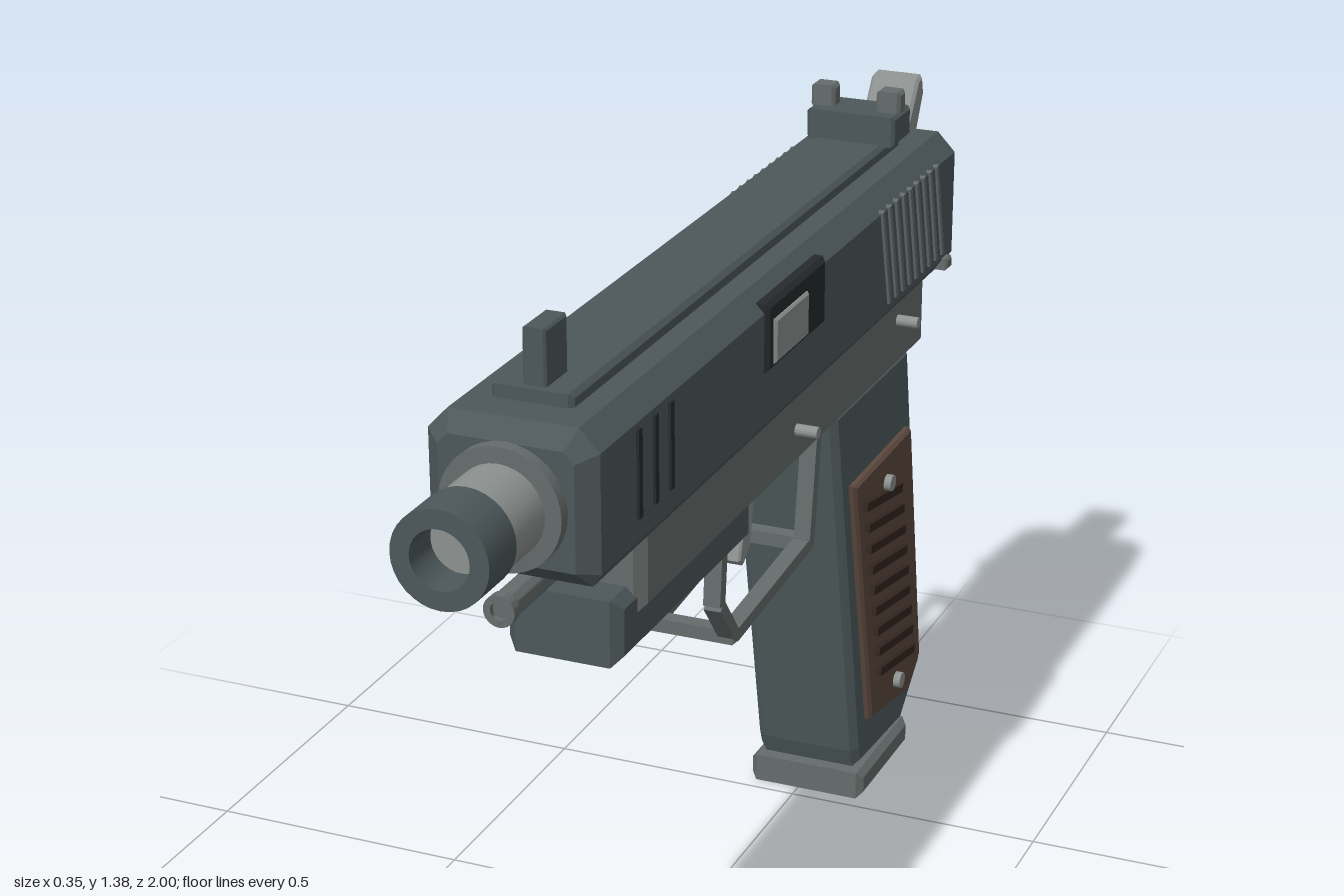
import * as THREE from 'three';
import { toCreasedNormals } from 'three/addons/utils/BufferGeometryUtils.js';

const CX = 0.015; // centre plane of the body
const mat = (color) => new THREE.MeshStandardMaterial({ color, flatShading: true });

export function createModel() {
  const root = new THREE.Group();
  const M = {
    slide: mat(0x4d585b), frame: mat(0x656c6b), grip: mat(0x505c5e), light: mat(0x8d9290),
    dark: mat(0x262b2d), wood: mat(0x5c493e), slat: mat(0x33261f), brass: mat(0x9c8148),
  };
  const add = (name, geo, material, parent = root) => {
    const mesh = new THREE.Mesh(geo, material);
    mesh.name = name;
    parent.add(mesh);
    return mesh;
  };
  const shapeOf = (pts) => new THREE.Shape(pts.map(([a, b]) => new THREE.Vector2(a, b)));
  const extrude = (pts, length, bevel) => new THREE.ExtrudeGeometry(shapeOf(pts), {
    depth: length - 2 * bevel, bevelEnabled: bevel > 0, bevelSize: bevel,
    bevelThickness: bevel, bevelOffset: -bevel, bevelSegments: 1,
  }).translate(0, 0, bevel);
  // side profile of [z, y] points, spanning x0..x1
  const side = (name, pts, x0, x1, material, bevel = 0, parent = root) =>
    add(name, extrude(pts.map(([z, y]) => [-z, y]), x1 - x0, bevel).rotateY(Math.PI / 2).translate(x0, 0, 0), material, parent);
  // chamfered block from its limits
  const block = (name, [x0, x1], [y0, y1], [z0, z1], material, bevel = 0.006, parent = root) =>
    side(name, [[z0, y0], [z1, y0], [z1, y1], [z0, y1]], x0, x1, material, bevel, parent);
  // front profile of [x, y] points, spanning z0..z1
  const front = (name, pts, z0, z1, material, bevel) =>
    add(name, extrude(pts, z1 - z0, bevel).translate(0, 0, z0), material);
  // turned part along z from [radius, z] points
  const turned = (name, pts, y, material) => add(name, toCreasedNormals(
    new THREE.LatheGeometry(pts.map(([r, z]) => new THREE.Vector2(r, z)), 32).rotateX(Math.PI / 2), 0.6,
  ).translate(CX, y, 0), new THREE.MeshStandardMaterial({ color: material.color }));
  // round pin along x
  const pin = (name, r, x0, x1, y, z, material) => add(name,
    new THREE.CylinderGeometry(r, r, x1 - x0, 16).rotateZ(Math.PI / 2).translate((x0 + x1) / 2, y, z), material);
  // straight bar between two [z, y] points
  const bar = (name, a, b, thick, x0, x1, material, parent = root) => {
    const dz = b[0] - a[0], dy = b[1] - a[1];
    const g = new THREE.BoxGeometry(x1 - x0, thick, Math.hypot(dz, dy));
    g.rotateX(-Math.atan2(dy, dz)).translate((x0 + x1) / 2, (a[1] + b[1]) / 2, (a[0] + b[0]) / 2);
    return add(name, g, material, parent);
  };

  // Slide with chamfered top edges, and the rib on top
  front('slide', [[-0.115, 1.008], [0.145, 1.008], [0.16, 1.03], [0.16, 1.23], [0.125, 1.267],
    [-0.095, 1.267], [-0.13, 1.23], [-0.13, 1.03]], -0.935, 0.775, M.slide, 0.03);
  block('topRib', [-0.055, 0.085], [1.25, 1.29], [-0.8, 0.68], M.slide, 0.008);

  // Slide serrations on both sides
  for (const [x0, x1] of [[0.15, 0.165], [-0.135, -0.12]]) {
    for (let i = 0; i < 9; i++) {
      const z = -0.492 - i * 0.0375;
      bar('rearSerration', [z, 1.235], [z - 0.05, 1.045], 0.011, x0, x1, M.frame);
    }
    for (const z of [0.605, 0.542, 0.48]) block('frontSerration', [x0, x1], [1.07, 1.22], [z - 0.007, z + 0.007], M.dark, 0);
    const out = x0 > 0 ? [0.14, 0.172] : [-0.142, -0.11];
    block('railNub', out, [1.01, 1.033], [-0.875, -0.845], M.frame, 0.004);
  }

  // Ejection port
  block('ejectionPort', [0.11, 0.168], [1.122, 1.247], [-0.192, 0.08], M.dark, 0.008);
  block('chamber', [0.12, 0.174], [1.135, 1.215], [-0.095, 0.058], M.light, 0.004);

  // Barrel, bushing and hollow muzzle
  turned('bushing', [[0.104, 0.73], [0.104, 0.798], [0.07, 0.8]], 1.135, M.frame);
  turned('barrel', [[0.077, 0.75], [0.077, 0.915]], 1.135, M.light);
  turned('muzzle', [[0.06, 0.908], [0.082, 0.908], [0.082, 1], [0.05, 1], [0.05, 0.93]], 1.135, M.slide);
  turned('bore', [[0.051, 0.93], [0, 0.93]], 1.135, M.light);
  turned('guideRod', [[0.024, 0.5], [0.024, 0.79], [0.027, 0.79], [0.027, 0.81], [0.015, 0.81], [0.015, 0.8], [0, 0.8]], 0.97, M.frame);

  // Sights
  block('frontSight', [-0.005, 0.035], [1.28, 1.385], [0.587, 0.668], M.slide, 0.004);
  add('frontSightDot', new THREE.SphereGeometry(0.01, 12, 8).translate(CX, 1.358, 0.58), M.light);
  block('rearSight', [-0.07, 0.105], [1.287, 1.345], [-0.8, -0.706], M.slide);
  for (const x of [-0.073, 0.057]) block('rearSightEar', [x, x + 0.048], [1.34, 1.385], [-0.77, -0.735], M.frame);

  // Hammer
  side('hammer', [[-0.87, 1.2], [-0.935, 1.19], [-1, 1.312], [-0.99, 1.35], [-0.965, 1.345], [-0.92, 1.28], [-0.87, 1.25]],
    -0.035, 0.062, M.light, 0.006);

  // Frame and dust cover
  block('frame', [-0.1, 0.13], [0.855, 1.012], [-0.842, 0.52], M.frame, 0.018);
  block('dustCover', [-0.087, 0.117], [0.787, 0.905], [0.02, 0.585], M.slide, 0.018);

  // Trigger guard: two side rails joined by cross bars
  const guard = new THREE.Group();
  guard.name = 'triggerGuard';
  root.add(guard);
  const path = [[0.115, 0.8], [0.125, 0.7], [0.055, 0.613], [-0.308, 0.643], [-0.34, 0.86]];
  for (const x of [-0.075, 0.073]) {
    for (let i = 0; i < 4; i++) bar('guardRail', path[i], path[i + 1], 0.024, x, x + 0.032, M.frame, guard);
  }
  for (const [z, y] of [path[2], path[3]]) {
    block('guardCrossBar', [-0.075, 0.105], [y - 0.013, y + 0.013], [z - 0.015, z + 0.015], M.frame, 0.004, guard);
  }
  side('trigger', [[-0.16, 0.87], [-0.205, 0.87], [-0.203, 0.82], [-0.172, 0.68], [-0.14, 0.655], [-0.12, 0.67], [-0.168, 0.82]],
    -0.007, 0.037, M.light, 0.004);

  // Grip and magazine base
  side('grip', [[-0.38, 0.87], [-0.785, 0.87], [-0.914, 0.14], [-0.8, 0.045], [-0.55, 0.06], [-0.535, 0.1]], -0.09, 0.12, M.grip, 0.014);
  block('magazineBase', [-0.102, 0.134], [0, 0.056], [-0.802, -0.53], M.frame, 0.012);
  block('gripSafety', [-0.035, 0.065], [0.4, 0.69], [-0.865, -0.8], M.light, 0.006);

  // Grip panels with slats and screws, mirrored about the centre plane
  for (const s of [-1, 1]) {
    const span = (a, b) => (s > 0 ? [CX + a, CX + b] : [CX - b, CX - a]);
    side('gripPanel', [[-0.458, 0.7], [-0.772, 0.706], [-0.866, 0.175], [-0.8, 0.12], [-0.578, 0.155]], ...span(0.09, 0.12), M.wood, 0.006);
    for (let i = 0; i < 9; i++) {
      const z = -0.5 - i * 0.0125, y = 0.644 - i * 0.049;
      bar('gripSlat', [z, y], [z - 0.2, y - 0.036], 0.017, ...span(0.11, 0.13), M.slat);
    }
    for (const [z, y] of [[-0.63, 0.645], [-0.717, 0.182]]) pin('gripScrew', 0.016, ...span(0.11, 0.134), y, z, M.light);
  }
  block('medallion', [-0.118, -0.1], [0.4, 0.475], [-0.715, -0.645], M.brass, 0.004);

  // Frame pins and the controls on the right side of the body
  pin('frontPin', 0.011, -0.138, 0.172, 0.93, -0.155, M.light);
  pin('rearPin', 0.011, -0.138, 0.172, 0.957, -0.685, M.light);
  pin('magazineRelease', 0.025, -0.15, -0.125, 0.757, -0.528, M.brass);
  pin('releaseStem', 0.012, -0.13, -0.08, 0.757, -0.528, M.slide);
  pin('safetyPivot', 0.024, -0.16, -0.09, 0.93, -0.72, M.light);
  bar('safetyLever', [-0.74, 0.93], [-0.55, 0.957], 0.026, -0.176, -0.155, M.light);
  bar('slideStop', [-0.34, 0.878], [-0.17, 0.915], 0.028, -0.155, -0.138, M.light);
  pin('slideStopPivot', 0.02, -0.147, -0.09, 0.9, -0.2, M.light);

  return root;
}
